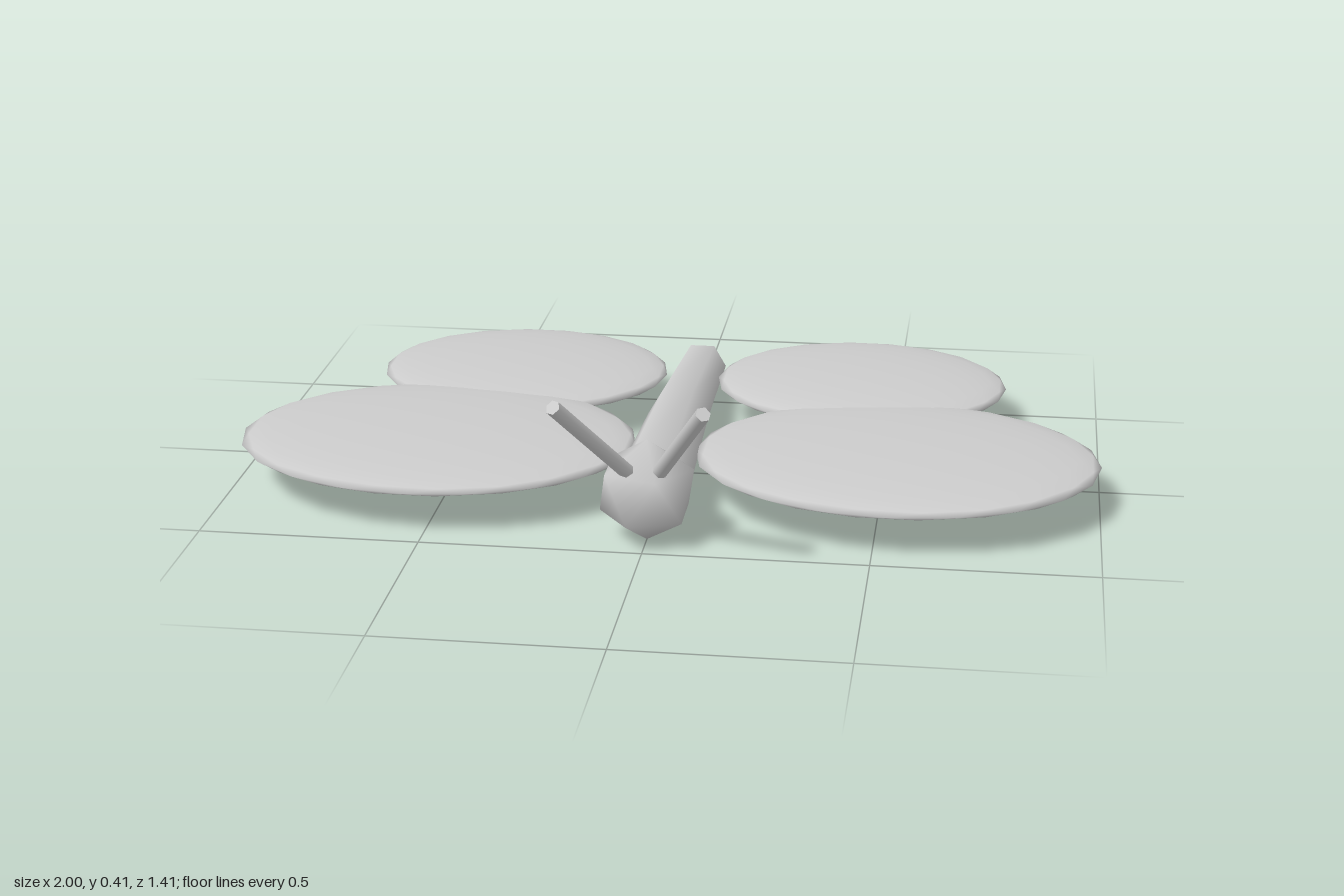
import * as THREE from 'three';

const material = new THREE.MeshStandardMaterial({ color: 0xcccccc });
const openMaterial = new THREE.MeshStandardMaterial({ color: 0xcccccc, side: THREE.DoubleSide });

// Smooth icosphere standing on a vertex
function icoSphere(detail) {
  const g = new THREE.IcosahedronGeometry(1, detail);
  g.rotateX(-Math.atan((1 + Math.sqrt(5)) / 2));
  g.rotateY(Math.PI / 2);
  g.setAttribute('normal', g.getAttribute('position').clone());
  return g;
}

function addEllipsoid(group, name, detail, radii, center) {
  const mesh = new THREE.Mesh(icoSphere(detail).scale(...radii), material);
  mesh.name = name;
  mesh.position.set(...center);
  group.add(mesh);
}

// Open six-sided tube running along z through three rings
function bodyGeometry() {
  const rings = [
    { z: 0.345, y: 0.104, r: 0.087 },
    { z: -0.12, y: 0.102, r: 0.073 },
    { z: -0.605, y: 0.065, r: 0.06 },
  ];
  const g = new THREE.CylinderGeometry(1, 1, 2, 6, 2, true, Math.PI / 6);
  g.rotateX(Math.PI / 2);
  const p = g.getAttribute('position');
  for (let i = 0; i < p.count; i++) {
    const ring = rings[1 - Math.round(p.getZ(i))];
    p.setXYZ(i, p.getX(i) * ring.r, ring.y + p.getY(i) * ring.r, ring.z);
  }
  return g;
}

// Straight rod between two points
function rod(name, from, to, radius) {
  const axis = to.clone().sub(from);
  const mesh = new THREE.Mesh(new THREE.CylinderGeometry(radius, radius, axis.length(), 6), material);
  mesh.name = name;
  mesh.position.copy(from).add(to).multiplyScalar(0.5);
  mesh.quaternion.setFromUnitVectors(new THREE.Vector3(0, 1, 0), axis.normalize());
  return mesh;
}

export function createModel() {
  const model = new THREE.Group();
  model.name = 'butterfly';

  const body = new THREE.Mesh(bodyGeometry(), openMaterial);
  body.name = 'body';
  model.add(body);

  addEllipsoid(model, 'head', 0, [0.118, 0.118, 0.118], [0, 0.121, 0.415]);

  // Wings and antennae, mirrored left and right
  for (const [side, s] of [['left', 1], ['right', -1]]) {
    addEllipsoid(model, side + 'FrontWing', 3, [0.465, 0.034, 0.365], [s * 0.535, 0.104, 0.105]);
    addEllipsoid(model, side + 'RearWing', 3, [0.355, 0.034, 0.3], [s * 0.42, 0.104, -0.405]);
    model.add(rod(
      side + 'Antenna',
      new THREE.Vector3(s * 0.027, 0.17, 0.46),
      new THREE.Vector3(s * 0.158, 0.405, 0.693),
      0.017,
    ));
  }
  return model;
}
